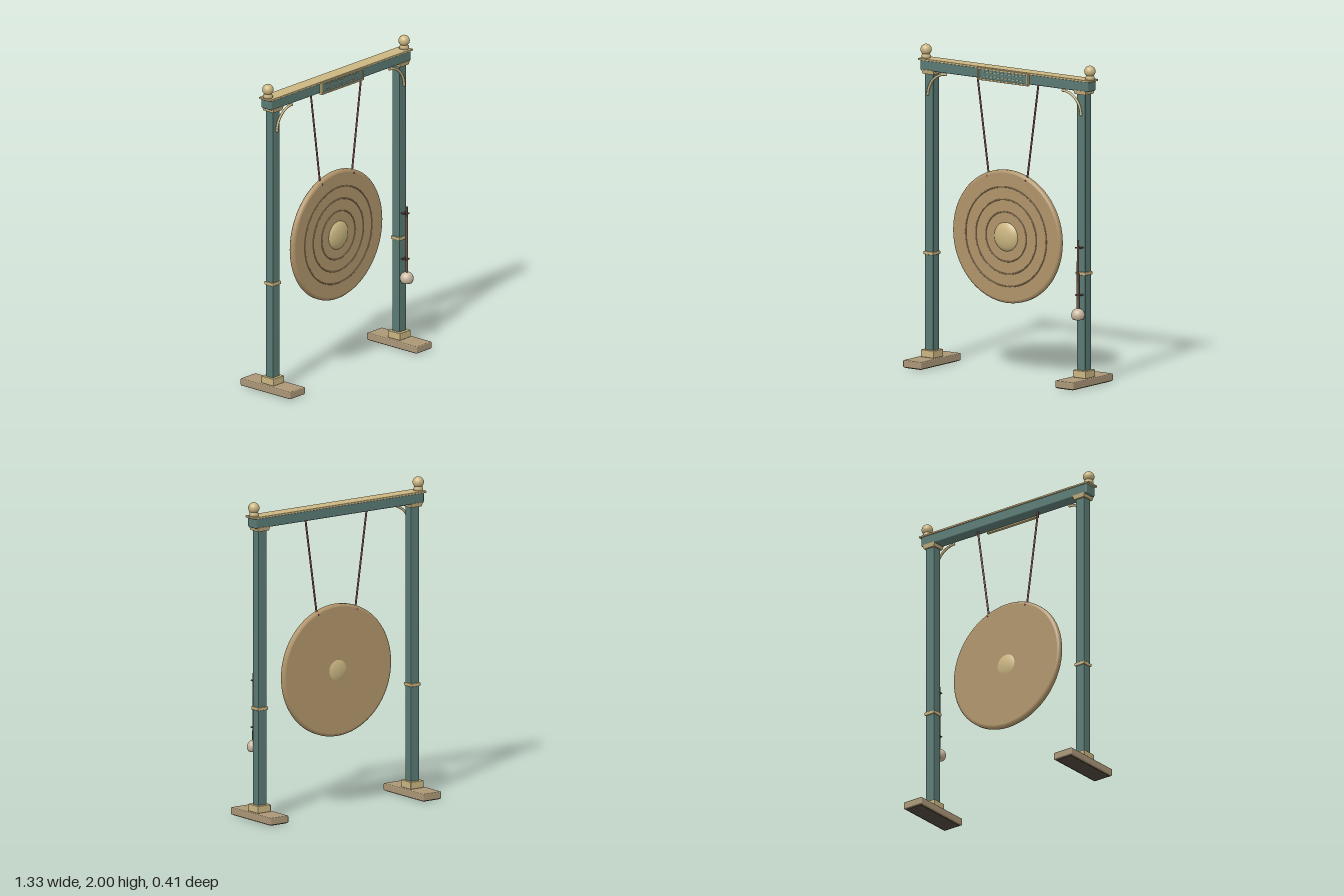
import * as THREE from 'three';
import { RoundedBoxGeometry } from 'three/addons/geometries/RoundedBoxGeometry.js';

const mat = (color) => new THREE.MeshStandardMaterial({ color });
const teal = mat(0x5a7a74), brass = mat(0xcbb682), wood = mat(0xab9777), bronze = mat(0xb0946a);
const rope = mat(0x7d4a48), darkWood = mat(0x6f5442), felt = mat(0xcbb9a2), dark = mat(0x50463a);

const V = (x, y, z) => new THREE.Vector3(x, y, z);

export function createModel() {
  const root = new THREE.Group();
  root.name = 'gongStand';

  function add(name, geo, material, x = 0, y = 0, z = 0, parent = root) {
    const m = new THREE.Mesh(geo, material);
    m.name = name;
    m.position.set(x, y, z);
    parent.add(m);
    return m;
  }
  // Box with softened edges, spanning y0 to y1
  const block = (name, w, y0, y1, d, material, x = 0, z = 0, r = 0.004) =>
    add(name, new RoundedBoxGeometry(w, y1 - y0, d, 2, r), material, x, (y0 + y1) / 2, z);
  // Straight round bar between two points
  function bar(name, a, b, r, material, r2 = r) {
    const dir = b.clone().sub(a);
    const m = add(name, new THREE.CylinderGeometry(r2, r, dir.length(), 12), material);
    m.position.copy(a).add(b).multiplyScalar(0.5);
    m.quaternion.setFromUnitVectors(V(0, 1, 0), dir.normalize());
    return m;
  }
  // Turned shape from [radius, height] pairs
  const turned = (pts, seg) => new THREE.LatheGeometry(pts.map(([r, y]) => new THREE.Vector2(r, y)), seg);

  // Uprights with feet, trim, finials and curved braces
  for (const s of [-1, 1]) {
    const x = s * 0.585;
    block('foot', 0.14, 0.004, 0.05, 0.41, wood, x, 0, 0.006);
    block('footPad', 0.116, 0, 0.01, 0.386, dark, x, 0, 0.001);
    block('plinth', 0.1, 0.05, 0.096, 0.1, brass, x);
    block('post', 0.064, 0.09, 1.845, 0.06, teal, x);
    block('postCollar', 0.078, 0.69, 0.711, 0.074, brass, x, 0, 0.005);
    const capital = new THREE.CylinderGeometry(0.047 * Math.SQRT2, 0.041 * Math.SQRT2, 0.026, 4);
    capital.rotateY(Math.PI / 4);
    add('capital', capital.toNonIndexed(), brass, x, 1.833).geometry.computeVertexNormals();

    const arc = new THREE.TorusGeometry(0.142, 0.008, 8, 20, Math.PI / 2);
    const brace = add('cornerBrace', arc, brass, s * 0.447, 1.69, 0.038);
    if (s < 0) brace.rotation.z = Math.PI / 2;
    for (const [bx, by] of [[0.589, 1.695], [0.452, 1.832]])
      add('braceEnd', new THREE.SphereGeometry(0.009, 10, 8), brass, s * bx, by, 0.038);

    add('finialNeck', turned([[0, 0], [0.03, 0], [0.03, 0.016], [0.025, 0.022], [0.025, 0.04]], 24),
      brass, s * 0.63, 1.912);
    add('finialBall', new THREE.SphereGeometry(0.035, 24, 16), brass, s * 0.63, 1.965);
  }

  // Crossbeam and its cap
  block('beam', 1.29, 1.84, 1.905, 0.085, teal, 0, 0, 0.008);
  block('beamCap', 1.32, 1.902, 1.914, 0.094, brass, 0, 0, 0.003);

  // Framed panel on the front of the beam
  block('panel', 0.38, 1.838, 1.902, 0.012, teal, 0, 0.045, 0.002);
  for (const s of [-1, 1]) {
    block('panelFrameRail', 0.392, 1.87 + s * 0.034 - 0.005, 1.87 + s * 0.034 + 0.005, 0.02, brass, 0, 0.048, 0.002);
    block('panelFrameStile', 0.01, 1.831, 1.909, 0.02, brass, s * 0.191, 0.048, 0.002);
    block('panelLine', 0.3, 1.869 + s * 0.014, 1.872 + s * 0.014, 0.004, brass, 0, 0.051, 0.001);
  }

  // Gong disc, turned about the z axis
  const gong = new THREE.Group();
  gong.name = 'gong';
  gong.position.y = 0.865;
  root.add(gong);
  const disc = turned([[0, -0.02], [0.398, -0.02], [0.398, -0.02], [0.409, -0.017], [0.415, -0.009],
    [0.415, 0.009], [0.409, 0.017], [0.398, 0.02], [0.398, 0.02], [0, 0.02]], 96);
  disc.rotateX(Math.PI / 2);
  add('gongDisc', disc, bronze, 0, 0, 0, gong);
  for (const r of [0.08, 0.155, 0.232, 0.31])
    add('gongRing', new THREE.TorusGeometry(r, 0.004, 8, 72), bronze, 0, 0, 0.0195, gong);
  const boss = add('gongBoss', new THREE.SphereGeometry(0.095, 36, 24), brass, 0, 0, 0.008, gong);
  boss.scale.z = 0.41;

  // Ropes and their pins in the gong
  for (const s of [-1, 1]) {
    bar('rope', V(s * 0.147, 1.23, 0), V(s * 0.235, 1.845, 0), 0.006, rope);
    bar('ropePin', V(s * 0.147, 1.231, -0.0215), V(s * 0.147, 1.231, 0.0215), 0.006, rope);
  }

  // Mallet held on pegs at the front of the left post
  const mx = 0.585, mz = 0.062;
  bar('malletHandle', V(mx, 0.46, mz), V(mx, 0.91, mz), 0.009, darkWood, 0.007);
  const head = [[0, -0.028]];
  for (let i = 0; i <= 14; i++) {
    const a = -0.72 + (i / 14) * (Math.PI / 2 + 0.72);
    head.push([0.042 * Math.cos(a), 0.042 * Math.sin(a)]);
  }
  add('malletHead', turned(head, 28), felt, mx, 0.446, mz);
  for (const y of [0.57, 0.865]) {
    for (const s of [-1, 1])
      bar('malletPeg', V(mx + s * 0.014, y, 0.025), V(mx + s * 0.014, y, 0.068), 0.005, darkWood);
    add('malletLoop', new THREE.TorusGeometry(0.011, 0.003, 6, 16).rotateX(Math.PI / 2), darkWood, mx, y, mz);
  }
  return root;
}
